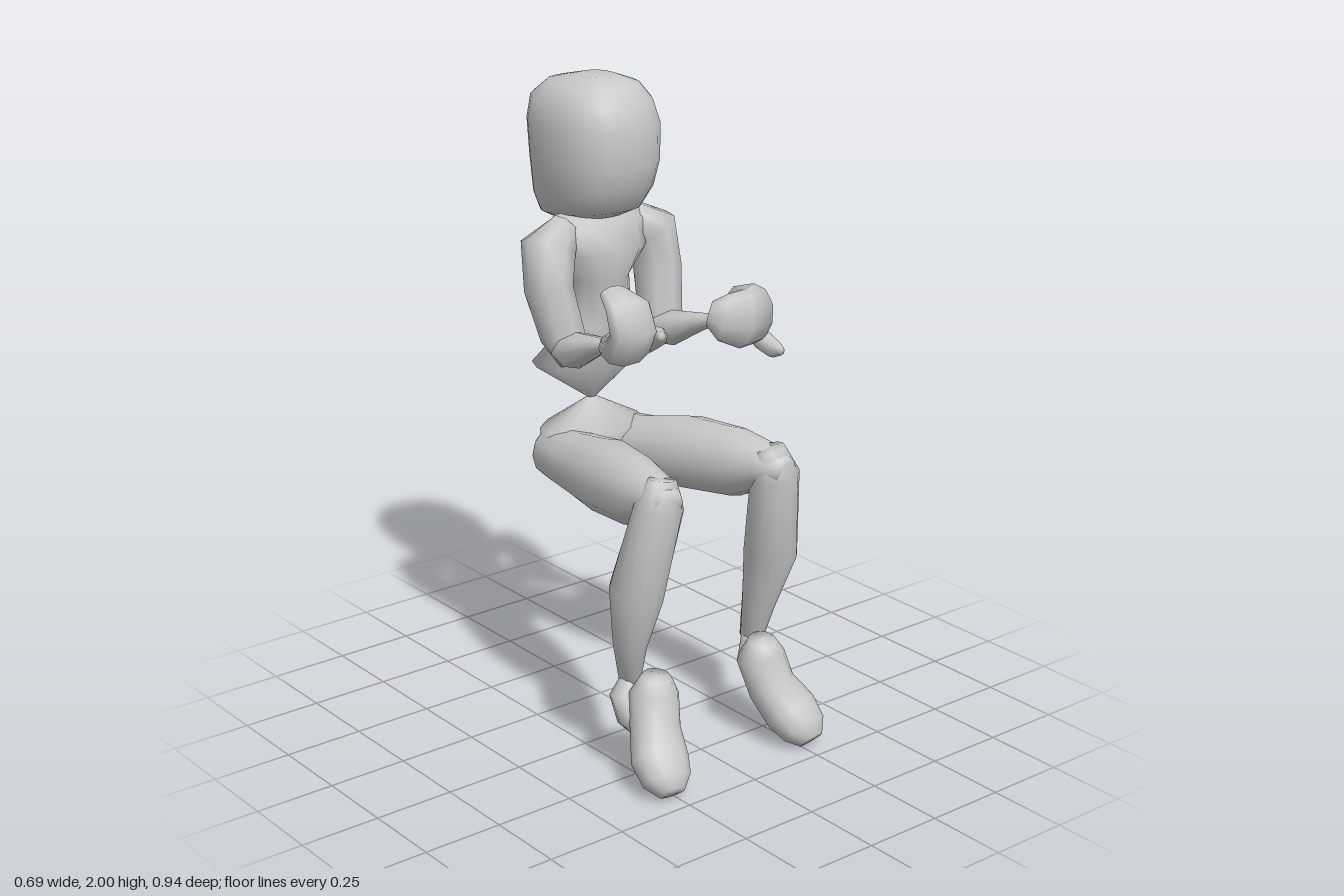
import * as THREE from 'three';

const skin = new THREE.MeshStandardMaterial({ color: 0xc8c8c8 });
skin.name = 'plain grey';

const X = new THREE.Vector3(1, 0, 0);
const Y = new THREE.Vector3(0, 1, 0);

// Smooth closed loft through sections [x, y, z, halfU, halfV].
// ref sets the U direction; axis fixes the section plane; pow squares the outline.
function loft(sections, { n = 12, ref = X, axis = null, pow = 2 } = {}) {
  const pos = [], idx = [];
  const pts = sections.map(s => new THREE.Vector3(s[0], s[1], s[2]));
  const last = pts.length - 1;
  const round = t => Math.sign(t) * Math.pow(Math.abs(t), 2 / pow);
  pts.forEach((p, i) => {
    const T = axis ? axis.clone()
      : pts[Math.min(i + 1, last)].clone().sub(pts[Math.max(i - 1, 0)]).normalize();
    const U = ref.clone().addScaledVector(T, -ref.dot(T)).normalize();
    const V = T.clone().cross(U);
    for (let j = 0; j < n; j++) {
      const a = j / n * Math.PI * 2;
      const q = p.clone()
        .addScaledVector(U, sections[i][3] * round(Math.cos(a)))
        .addScaledVector(V, sections[i][4] * round(Math.sin(a)));
      pos.push(q.x, q.y, q.z);
    }
  });
  for (let i = 0; i < last; i++) {
    for (let j = 0; j < n; j++) {
      const k = (j + 1) % n, a = i * n, b = a + n;
      idx.push(a + j, a + k, b + j, a + k, b + k, b + j);
    }
  }
  // end caps
  const lo = pos.length / 3, hi = lo + 1;
  pos.push(...pts[0].toArray(), ...pts[last].toArray());
  for (let j = 0; j < n; j++) {
    const k = (j + 1) % n;
    idx.push(lo, k, j, hi, last * n + j, last * n + k);
  }
  const g = new THREE.BufferGeometry();
  g.setAttribute('position', new THREE.Float32BufferAttribute(pos, 3));
  g.setIndex(idx);
  g.computeVertexNormals();
  return g;
}

export function createModel() {
  const model = new THREE.Group();
  model.name = 'seatedFigure';
  const add = (name, geometry) => {
    const mesh = new THREE.Mesh(geometry, skin);
    mesh.name = name;
    model.add(mesh);
  };

  // Head: rounded block with its underside dropping to the back
  const head = loft([
    [0, 1.57, -0.3, 0.085, 0.125],
    [0, 1.59, -0.285, 0.125, 0.165],
    [0, 1.65, -0.27, 0.158, 0.185],
    [0, 1.75, -0.262, 0.17, 0.202],
    [0, 1.86, -0.266, 0.174, 0.206],
    [0, 1.93, -0.275, 0.157, 0.19],
    [0, 1.975, -0.265, 0.12, 0.145],
    [0, 2.0, -0.24, 0.05, 0.065],
  ], { n: 24, axis: Y, pow: 2.4 });
  const hp = head.attributes.position;
  for (let i = 0; i < hp.count; i++) {
    const y = hp.getY(i);
    if (y < 1.7) hp.setY(i, y + (hp.getZ(i) + 0.29) * 0.12);
  }
  head.computeVertexNormals();
  add('head', head);

  // Torso: flared hem, pinched to a point at the waist
  add('torso', loft([
    [0, 0.99, -0.285, 0.006, 0.006],
    [0, 1.12, -0.305, 0.19, 0.125],
    [0, 1.25, -0.245, 0.11, 0.075],
    [0, 1.39, -0.25, 0.095, 0.095],
    [0, 1.48, -0.25, 0.165, 0.115],
    [0, 1.56, -0.25, 0.185, 0.085],
    [0, 1.6, -0.26, 0.12, 0.07],
  ], { n: 12, axis: Y }));

  // Pelvis, meeting the torso at the waist point
  add('pelvis', loft([
    [0, 0.755, -0.3, 0.1, 0.06],
    [0, 0.8, -0.3, 0.17, 0.1],
    [0, 0.91, -0.285, 0.175, 0.125],
    [0, 1.0, -0.285, 0.006, 0.006],
  ], { n: 12, axis: Y }));

  // Limbs, mirrored about the middle
  for (const [side, s] of [['left', 1], ['right', -1]]) {
    const limb = (name, sections, options) =>
      add(side + name, loft(sections.map(([x, ...r]) => [s * x, ...r]), options));

    limb('UpperArm', [
      [0.12, 1.555, -0.25, 0.05, 0.055],
      [0.19, 1.51, -0.24, 0.08, 0.09],
      [0.205, 1.39, -0.22, 0.07, 0.08],
      [0.185, 1.25, -0.18, 0.07, 0.065],
      [0.17, 1.17, -0.155, 0.04, 0.035],
    ], { n: 8 });
    limb('Forearm', [
      [0.17, 1.21, -0.2, 0.05, 0.04],
      [0.18, 1.22, -0.12, 0.075, 0.055],
      [0.195, 1.265, 0.0, 0.045, 0.028],
      [0.205, 1.3, 0.11, 0.008, 0.008],
    ], { n: 8 });
    limb('Thigh', [
      [0.1, 0.835, -0.375, 0.05, 0.045],
      [0.11, 0.832, -0.32, 0.085, 0.085],
      [0.125, 0.838, -0.18, 0.105, 0.092],
      [0.162, 0.858, 0.0, 0.112, 0.113],
      [0.193, 0.87, 0.18, 0.097, 0.106],
      [0.21, 0.89, 0.3, 0.075, 0.066],
      [0.22, 0.89, 0.365, 0.045, 0.04],
    ]);
    limb('Shin', [
      [0.205, 0.95, 0.315, 0.045, 0.035],
      [0.22, 0.87, 0.318, 0.077, 0.068],
      [0.257, 0.6, 0.262, 0.08, 0.087],
      [0.25, 0.42, 0.22, 0.048, 0.058],
      [0.237, 0.29, 0.2, 0.027, 0.042],
    ]);
    limb('Heel', [
      [0.23, 0.31, 0.205, 0.025, 0.03],
      [0.25, 0.25, 0.21, 0.06, 0.05],
      [0.245, 0.19, 0.235, 0.06, 0.05],
      [0.235, 0.14, 0.28, 0.03, 0.03],
    ], { n: 8 });
    limb('Foot', [
      [0.205, 0.325, 0.29, 0.045, 0.042],
      [0.208, 0.27, 0.28, 0.075, 0.074],
      [0.228, 0.17, 0.312, 0.077, 0.07],
      [0.257, 0.1, 0.37, 0.09, 0.072],
      [0.268, 0.055, 0.418, 0.078, 0.058],
      [0.272, 0.025, 0.447, 0.042, 0.032],
    ]);
  }

  // Left hand: fingers curl inward across the body, thumb forward and down
  add('leftHand', loft([
    [0.205, 1.3, 0.1, 0.01, 0.01],
    [0.225, 1.325, 0.14, 0.075, 0.048],
    [0.22, 1.335, 0.21, 0.09, 0.06],
    [0.15, 1.34, 0.242, 0.088, 0.045],
    [0.095, 1.35, 0.22, 0.072, 0.042],
    [0.068, 1.36, 0.19, 0.038, 0.024],
  ], { n: 10, ref: Y }));
  add('leftThumb', loft([
    [0.23, 1.3, 0.17, 0.025, 0.025],
    [0.25, 1.25, 0.22, 0.03, 0.03],
    [0.25, 1.235, 0.27, 0.027, 0.027],
    [0.245, 1.24, 0.305, 0.014, 0.014],
  ], { n: 8 }));

  // Right hand: fingers hook up and back, thumb curls in front
  add('rightHand', loft([
    [-0.205, 1.3, 0.1, 0.01, 0.01],
    [-0.225, 1.31, 0.14, 0.06, 0.045],
    [-0.245, 1.32, 0.2, 0.08, 0.052],
    [-0.25, 1.375, 0.24, 0.08, 0.04],
    [-0.245, 1.44, 0.21, 0.075, 0.033],
    [-0.24, 1.466, 0.135, 0.045, 0.024],
  ], { n: 10 }));
  add('rightThumb', loft([
    [-0.19, 1.3, 0.15, 0.025, 0.025],
    [-0.155, 1.315, 0.18, 0.032, 0.03],
    [-0.155, 1.345, 0.235, 0.03, 0.028],
    [-0.18, 1.36, 0.275, 0.015, 0.015],
  ], { n: 8, ref: Y }));

  return model;
}
